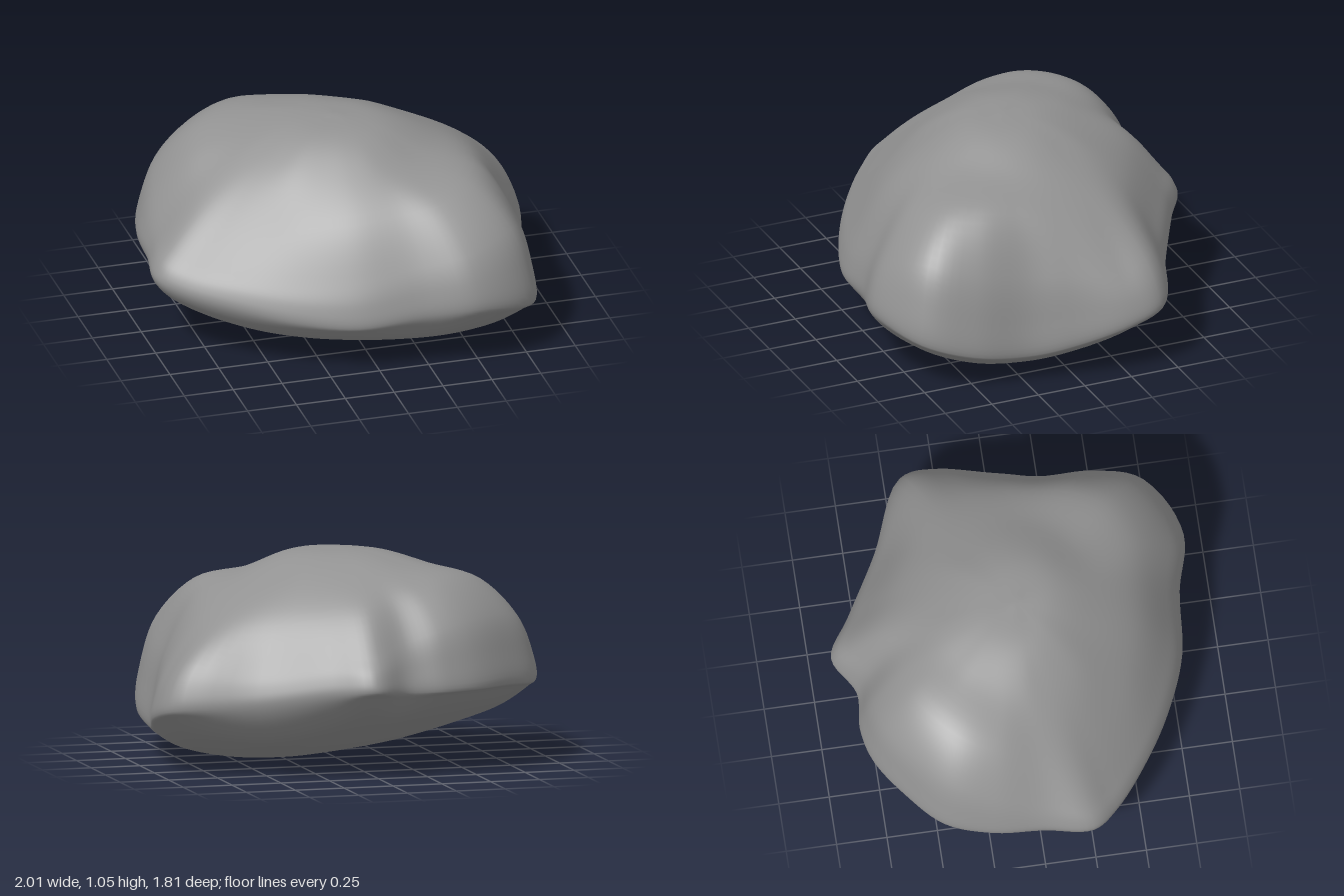
import * as THREE from 'three';
import { mergeVertices } from 'three/addons/utils/BufferGeometryUtils.js';

const { lerp } = THREE.MathUtils;

// Boulder outline, going round from the left side to the front:
// x, z, height at the rim, then heights at 92%, 75% and 50% of the way out
const OUTLINE = [
  [1.0, -0.25, 0.28, 0.52, 0.74, 0.92],
  [0.93, 0.05, 0.19, 0.54, 0.79, 0.94],
  [0.88, 0.25, 0.16, 0.55, 0.83, 0.94],
  [0.86, 0.53, 0.20, 0.60, 0.86, 0.93],
  [0.76, 0.77, 0.27, 0.66, 0.86, 0.93],
  [0.47, 0.90, 0.34, 0.60, 0.80, 0.92],
  [0.20, 0.84, 0.31, 0.54, 0.76, 0.92],
  [-0.12, 0.805, 0.27, 0.48, 0.73, 0.93],
  [-0.40, 0.70, 0.29, 0.47, 0.70, 0.92],
  [-0.65, 0.56, 0.33, 0.48, 0.66, 0.89],
  [-0.90, 0.37, 0.37, 0.50, 0.67, 0.88],
  [-1.0, 0.24, 0.40, 0.54, 0.71, 0.89],
  [-0.97, 0.0, 0.41, 0.59, 0.78, 0.93],
  [-0.95, -0.25, 0.41, 0.67, 0.87, 0.98],
  [-0.87, -0.48, 0.41, 0.74, 0.93, 1.0],
  [-0.70, -0.65, 0.43, 0.77, 0.95, 1.01],
  [-0.50, -0.78, 0.43, 0.76, 0.94, 1.0],
  [-0.33, -0.82, 0.43, 0.72, 0.90, 0.99],
  [-0.14, -0.81, 0.43, 0.66, 0.86, 0.98],
  [0.05, -0.91, 0.45, 0.61, 0.82, 0.97],
  [0.25, -0.80, 0.43, 0.60, 0.80, 0.95],
  [0.58, -0.62, 0.37, 0.55, 0.77, 0.93],
  [0.96, -0.44, 0.33, 0.57, 0.74, 0.91],
];
const TOP = 1.05;

// An outline row blended towards the mean of its neighbours
function softened(i, amount) {
  const n = OUTLINE.length;
  return OUTLINE[i].map((value, k) => {
    let sum = 0;
    for (let d = -2; d <= 2; d++) sum += OUTLINE[(i + d + n) % n][k];
    return lerp(value, sum / 5, amount);
  });
}

// Shallow lopsided bowl of the underside, lowest towards the front left
function underside(r, f) {
  const dx = r[0] * f - 0.35, dz = r[1] * f - 0.2;
  return dx * dx * (dx < 0 ? 0.16 : 0.4) + dz * dz * (dz < 0 ? 0.33 : 0.52);
}

// Control rings from the bottom centre, out over the rim, up to the crown:
// distance out, softening of the outline, height
const RINGS = [
  [0, 0, (r) => underside(r, 0)],
  [0.3, 0.6, (r) => underside(r, 0.3)],
  [0.6, 0.4, (r) => underside(r, 0.6)],
  [0.84, 0.15, (r) => underside(r, 0.84)],
  [0.96, 0, (r) => lerp(underside(r, 0.96), r[2], 0.4)],
  [1, 0, (r) => r[2]],
  [0.98, 0, (r) => lerp(r[2], r[3], 0.45)],
  [0.92, 0.1, (r) => r[3]],
  [0.75, 0.4, (r) => r[4]],
  [0.5, 1, (r) => r[5]],
  [0.25, 1, (r) => lerp(r[5], TOP, 0.8)],
  [0, 0, () => TOP],
];

function boulderGeometry(around = 138, up = 66) {
  const loops = RINGS.map(([f, soft, height]) => new THREE.CatmullRomCurve3(
    OUTLINE.map((_, i) => {
      const r = softened(i, soft);
      return new THREE.Vector3(r[0] * f, height(r), r[1] * f);
    }), true));
  const positions = [], index = [];

  // One smooth rib from bottom to crown at each step round the outline
  for (let j = 0; j < around; j++) {
    const rib = new THREE.CatmullRomCurve3(loops.map((loop) => loop.getPoint(j / around)));
    for (let i = 0; i <= up; i++) positions.push(...rib.getPoint(i / up).toArray());
  }
  for (let j = 0; j < around; j++) {
    for (let i = 0; i < up; i++) {
      const a = j * (up + 1) + i, b = ((j + 1) % around) * (up + 1) + i;
      if (i < up - 1) index.push(a, a + 1, b + 1);
      else index.push(a, a + 1, b);
      if (i > 0 && i < up - 1) index.push(a, b + 1, b);
    }
  }
  let geometry = new THREE.BufferGeometry();
  geometry.setAttribute('position', new THREE.Float32BufferAttribute(positions, 3));
  geometry.setIndex(index);
  geometry = mergeVertices(geometry);
  geometry.computeVertexNormals();

  // Rest on the ground
  geometry.computeBoundingBox();
  geometry.translate(0, -geometry.boundingBox.min.y, 0);
  return geometry;
}

export function createModel() {
  const group = new THREE.Group();
  group.name = 'rock';
  const boulder = new THREE.Mesh(
    boulderGeometry(),
    new THREE.MeshStandardMaterial({ color: 0x929292 }));
  boulder.name = 'boulder';
  group.add(boulder);
  return group;
}
